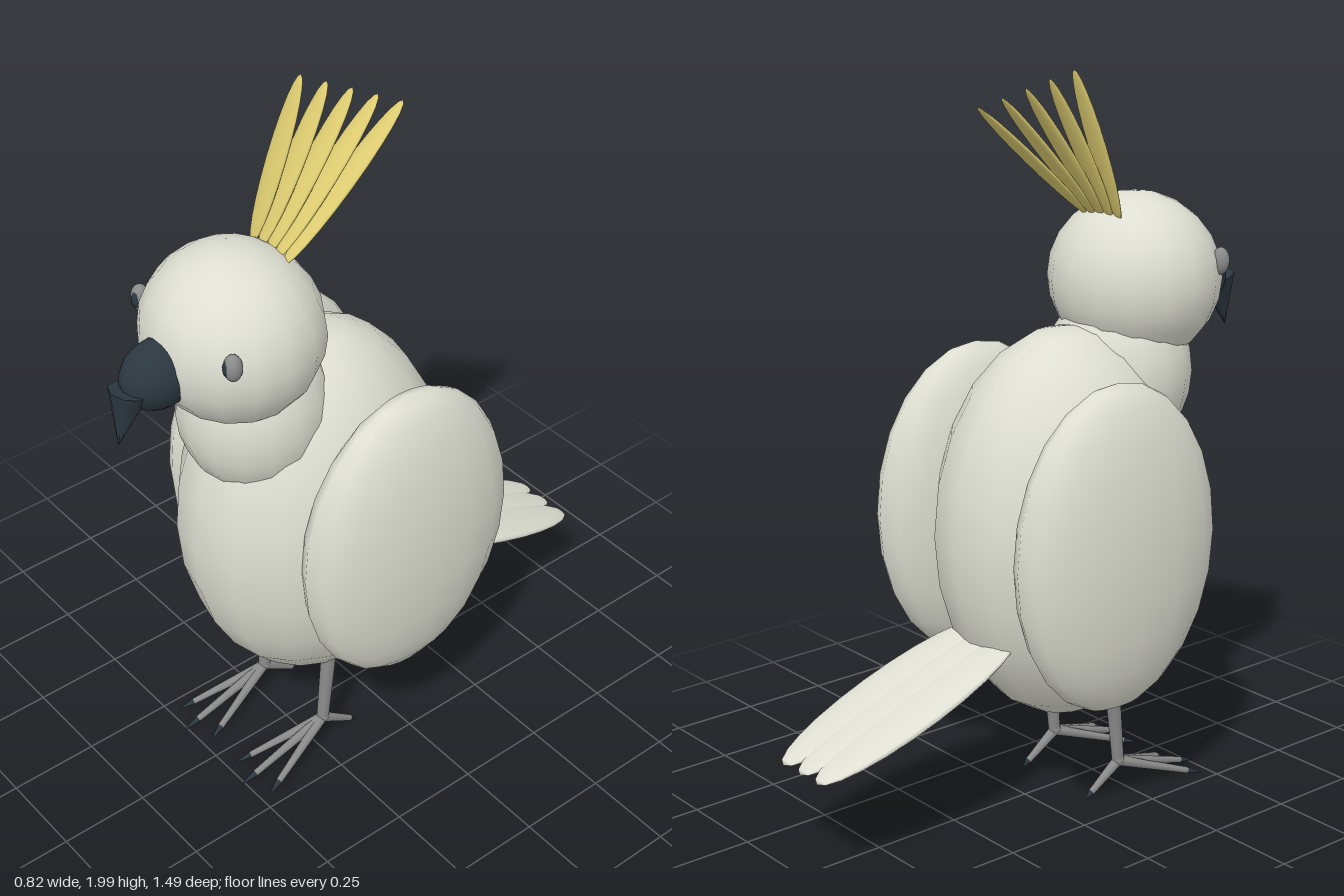
import * as THREE from 'three';

const mat = (name, color) => {
  const m = new THREE.MeshStandardMaterial({ color });
  m.name = name;
  return m;
};

export function createModel() {
  const bird = new THREE.Group();
  bird.name = 'crestedBird';
  const white = mat('creamWhite', 0xdedfd2);
  const yellow = mat('crestYellow', 0xdccb70);
  const dark = mat('beakSlate', 0x2c3841);
  const grey = mat('legGrey', 0x8b8b8b);

  const ball = new THREE.SphereGeometry(1, 16, 12);

  function add(name, geometry, material, parent = bird) {
    const mesh = new THREE.Mesh(geometry, material);
    mesh.name = name;
    parent.add(mesh);
    return mesh;
  }

  function ellipsoid(name, material, centre, radii, parent) {
    const mesh = add(name, ball, material, parent);
    mesh.position.set(...centre);
    mesh.scale.set(...radii);
    return mesh;
  }

  // Flat feather running from base to tip in a plane of constant x
  function feather(name, material, x, base, tip, width, thickness, parent) {
    const dy = tip[0] - base[0], dz = tip[1] - base[1];
    const mesh = ellipsoid(name, material,
      [x, (base[0] + tip[0]) / 2, (base[1] + tip[1]) / 2],
      [width, Math.hypot(dy, dz) / 2, thickness], parent);
    mesh.rotation.x = Math.atan2(dz, dy);
    return mesh;
  }

  // Tapered rod between two points
  function rod(name, material, from, to, r0, r1, parent, sides = 8) {
    const a = new THREE.Vector3(...from), b = new THREE.Vector3(...to);
    const dir = b.clone().sub(a);
    const mesh = add(name, new THREE.CylinderGeometry(r1, r0, dir.length(), sides), material, parent);
    mesh.position.copy(a).add(b).multiplyScalar(0.5);
    mesh.quaternion.setFromUnitVectors(new THREE.Vector3(0, 1, 0), dir.normalize());
    return mesh;
  }

  // Torso, neck and head
  ellipsoid('body', white, [0, 0.775, 0.145], [0.315, 0.545, 0.387]);
  ellipsoid('neck', white, [0, 1.17, 0.33], [0.2, 0.24, 0.2]);
  ellipsoid('head', white, [0, 1.42, 0.385], [0.242, 0.232, 0.232]);

  // Beak with hooked tip
  ellipsoid('beak', dark, [0, 1.39, 0.605], [0.077, 0.094, 0.107]);
  rod('beakHook', dark, [0, 1.378, 0.695], [0, 1.232, 0.735], 0.052, 0, bird);

  for (const side of [-1, 1]) {
    const label = side > 0 ? 'left' : 'right';

    // Wing
    ellipsoid(label + 'Wing', white, [side * 0.29, 0.79, 0.065], [0.122, 0.445, 0.332]);

    // Eye with forward-facing pupil
    ellipsoid(label + 'Eye', grey, [side * 0.19, 1.473, 0.522], [0.024, 0.037, 0.024]);
    ellipsoid(label + 'Pupil', dark, [side * 0.187, 1.473, 0.531], [0.016, 0.027, 0.017]);

    // Leg and foot
    const leg = new THREE.Group();
    leg.name = label + 'Leg';
    leg.position.x = side * 0.135;
    bird.add(leg);
    rod('shin', grey, [0, 0.32, 0.2], [0, 0.09, 0.224], 0.021, 0.017, leg);
    ellipsoid('ankle', grey, [0, 0.092, 0.224], [0.018, 0.018, 0.018], leg);
    const toeTips = [[-0.077, 0.008, 0.47], [0, 0.008, 0.508], [0.077, 0.008, 0.47], [0, 0.01, 0.108]];
    for (const tip of toeTips) {
      const start = [0, 0.09, 0.224];
      const joint = start.map((v, i) => v + (tip[i] - v) * 0.84);
      rod('toe', grey, start, joint, 0.015, 0.009, leg);
      rod('claw', dark, joint, tip, 0.009, 0.002, leg);
    }
  }

  // Fanned crest
  const crest = new THREE.Group();
  crest.name = 'crest';
  bird.add(crest);
  for (let i = 0; i < 5; i++) {
    feather('crestFeather', yellow, -0.063 + i * 0.0315,
      [1.59, 0.272], [2.0 - i * 0.0225, 0.11 - i * 0.053], 0.034, 0.011, crest);
  }

  // Tail
  const tail = new THREE.Group();
  tail.name = 'tail';
  bird.add(tail);
  for (const x of [-0.075, 0, 0.075]) {
    feather('tailFeather', white, x, [0.522, -0.1], [0.288, -0.743], 0.09, 0.021, tail);
  }

  return bird;
}
